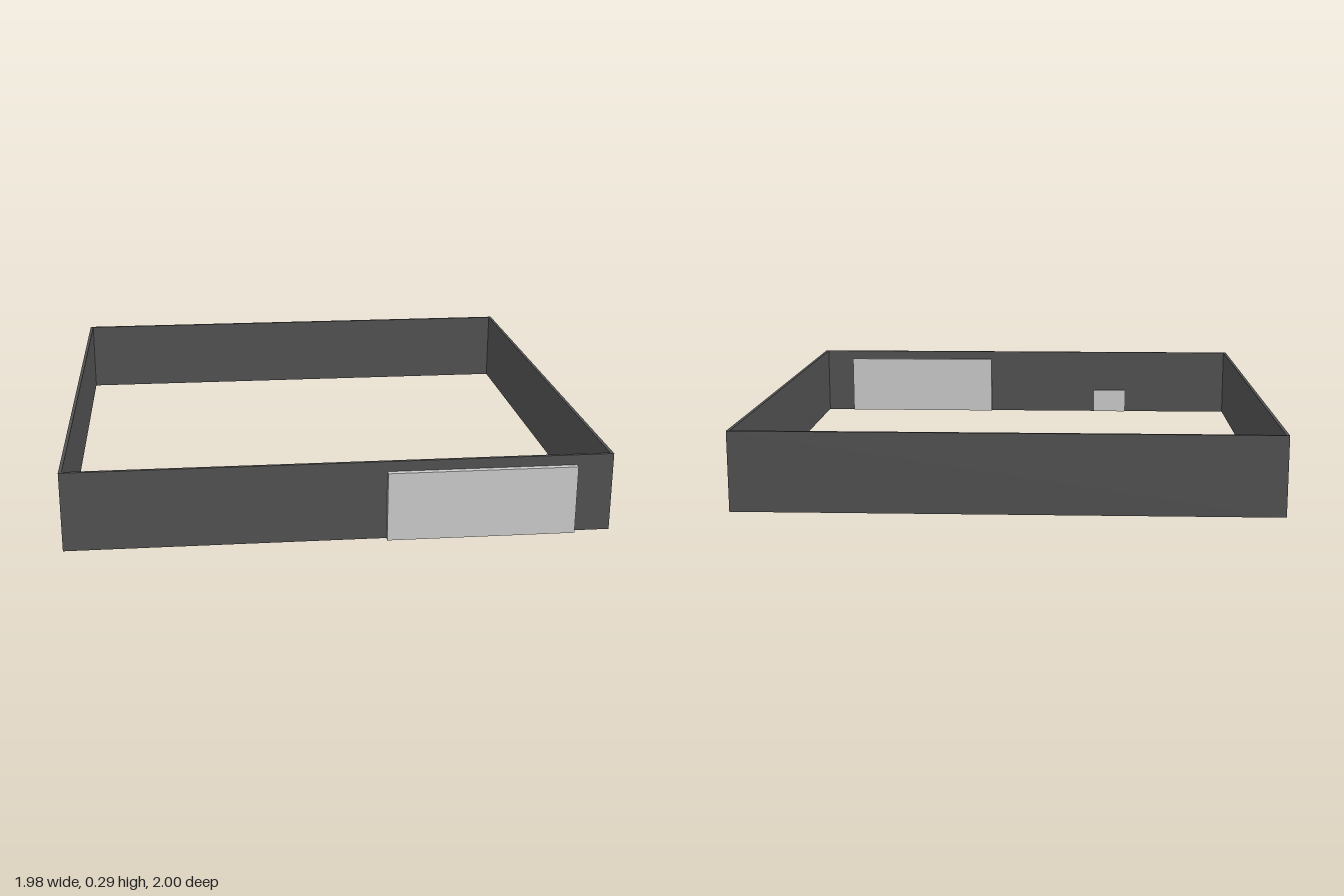
import * as THREE from 'three';

export function createModel() {
  const model = new THREE.Group();
  const wallGrey = new THREE.MeshStandardMaterial({ color: 0x515151 });
  wallGrey.name = 'dark grey wall';
  const doorGrey = new THREE.MeshStandardMaterial({ color: 0xcbcbcb });
  doorGrey.name = 'light grey door';

  // Box given by its limits on each axis
  const addBox = (name, [x0, x1], [y0, y1], [z0, z1], material) => {
    const mesh = new THREE.Mesh(new THREE.BoxGeometry(x1 - x0, y1 - y0, z1 - z0), material);
    mesh.position.set((x0 + x1) / 2, (y0 + y1) / 2, (z0 + z1) / 2);
    mesh.name = name;
    model.add(mesh);
  };

  // Square enclosure of thin walls, open at top and bottom
  const half = 0.99, height = 0.295, back = -1, front = 0.978, thick = 0.012;
  const ring = new THREE.Shape([
    new THREE.Vector2(-half, -front), new THREE.Vector2(half, -front),
    new THREE.Vector2(half, -back), new THREE.Vector2(-half, -back),
  ]);
  ring.holes.push(new THREE.Path([
    new THREE.Vector2(-half + thick, -front + thick), new THREE.Vector2(-half + thick, -back - thick),
    new THREE.Vector2(half - thick, -back - thick), new THREE.Vector2(half - thick, -front + thick),
  ]));
  const wallGeometry = new THREE.ExtrudeGeometry(ring, { depth: height, bevelEnabled: false });
  wallGeometry.rotateX(-Math.PI / 2);
  const walls = new THREE.Mesh(wallGeometry, wallGrey);
  walls.name = 'perimeterWalls';
  model.add(walls);

  // Wide gate passing through the front wall
  addBox('gate', [0.165, 0.855], [0, 0.257], [0.955, 1], doorGrey);

  // Small door on the inner side of the front wall
  addBox('smallDoor', [-0.495, -0.345], [0, 0.105], [0.958, 0.97], doorGrey);

  return model;
}
